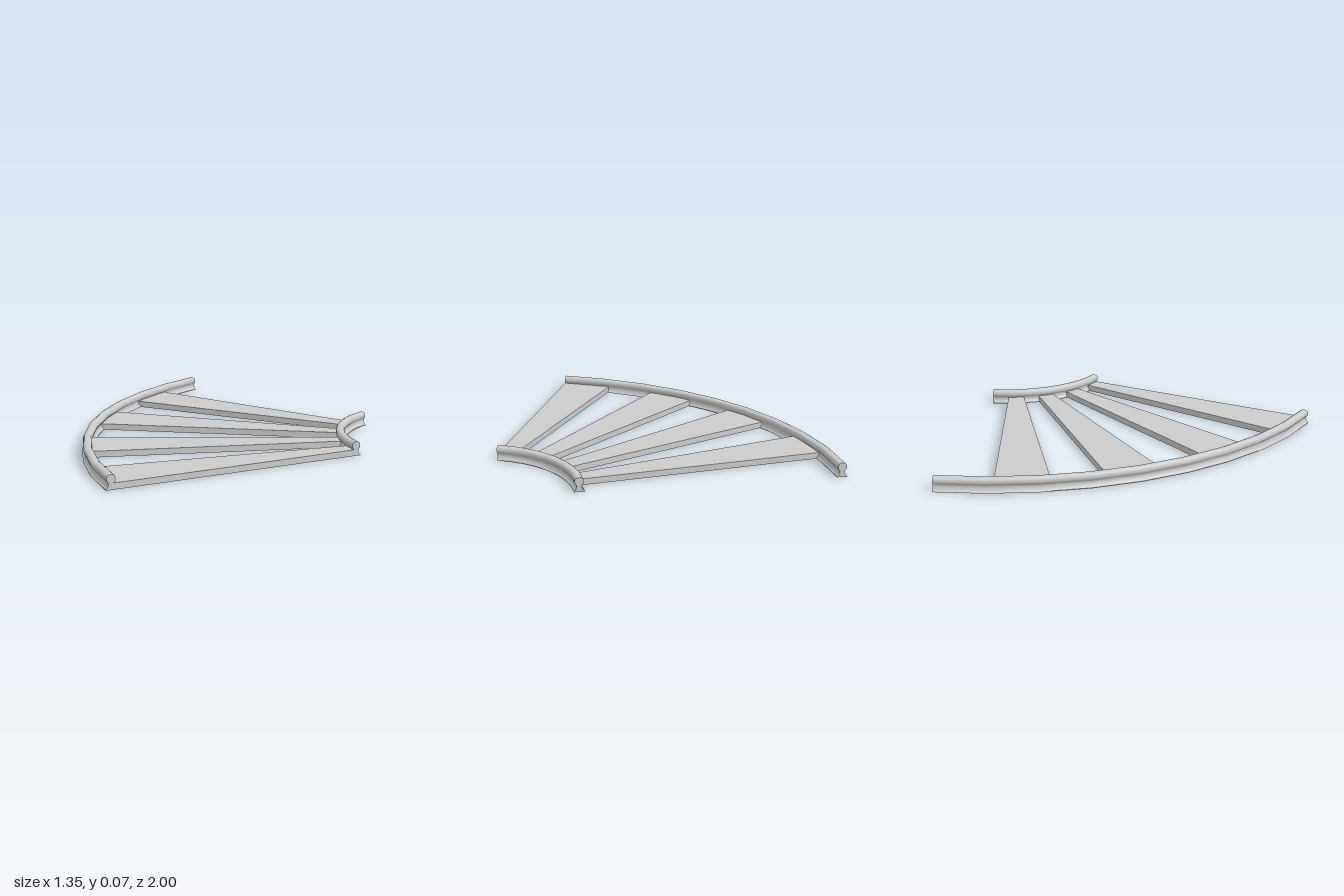
import * as THREE from 'three';
import { toCreasedNormals } from 'three/addons/utils/BufferGeometryUtils.js';

const CENTER_X = 1.088;                 // centre of the curve
const HALF = THREE.MathUtils.degToRad(34.5);
const OUTER = 1.74, INNER = 0.525;      // rail radii
const material = new THREE.MeshStandardMaterial({ color: 0xcccccc });

// Sweeps a counter-clockwise (radius, height) profile around the curve centre
function sweep(profile, from, to, steps) {
  const n = profile.length, pos = [], index = [];
  for (let k = 0; k <= steps; k++) {
    const a = from + (to - from) * k / steps;
    for (const p of profile) pos.push(CENTER_X - p.x * Math.cos(a), p.y, p.x * Math.sin(a));
  }
  for (let k = 0; k < steps; k++) {
    for (let i = 0; i < n; i++) {
      const j = (i + 1) % n;
      const a = k * n + i, b = k * n + j;
      index.push(a, a + n, b + n, a, b + n, b);
    }
  }
  // End caps
  const last = steps * n;
  for (const [a, b, c] of THREE.ShapeUtils.triangulateShape(profile, [])) {
    index.push(a, b, c, last + a, last + c, last + b);
  }
  const g = new THREE.BufferGeometry();
  g.setAttribute('position', new THREE.Float32BufferAttribute(pos, 3));
  g.setIndex(index);
  return toCreasedNormals(g, 0.65);
}

// Rail section: wide foot, narrow web, rounded head
function railProfile(radius) {
  const side = [[0.025, 0], [0.025, 0.003], [0.018, 0.009], [0.013, 0.018], [0.012, 0.028],
    [0.014, 0.034], [0.019, 0.039], [0.021, 0.047], [0.020, 0.057], [0.016, 0.064], [0.008, 0.068]];
  const right = side.map(([x, y]) => new THREE.Vector2(radius + x, y));
  const left = side.map(([x, y]) => new THREE.Vector2(radius - x, y)).reverse();
  return [...right, ...left];
}

export function createModel() {
  const group = new THREE.Group();
  group.name = 'curvedTrack';
  const add = (name, geometry) => {
    const mesh = new THREE.Mesh(geometry, material);
    mesh.name = name;
    group.add(mesh);
  };

  // Two concentric rails
  add('outerRail', sweep(railProfile(OUTER), -HALF, HALF, 9));
  add('innerRail', sweep(railProfile(INNER), -HALF, HALF, 9));

  // Wedge-shaped sleepers fill every other eighth of the curve
  const slab = [[INNER, 0], [OUTER, 0], [OUTER, 0.03], [INNER, 0.03]]
    .map(([x, y]) => new THREE.Vector2(x, y));
  const step = HALF / 4;
  for (let i = 0; i < 4; i++) {
    const end = HALF - i * 2 * step;
    add('sleeper' + (i + 1), sweep(slab, end - step, end, 1));
  }
  return group;
}
